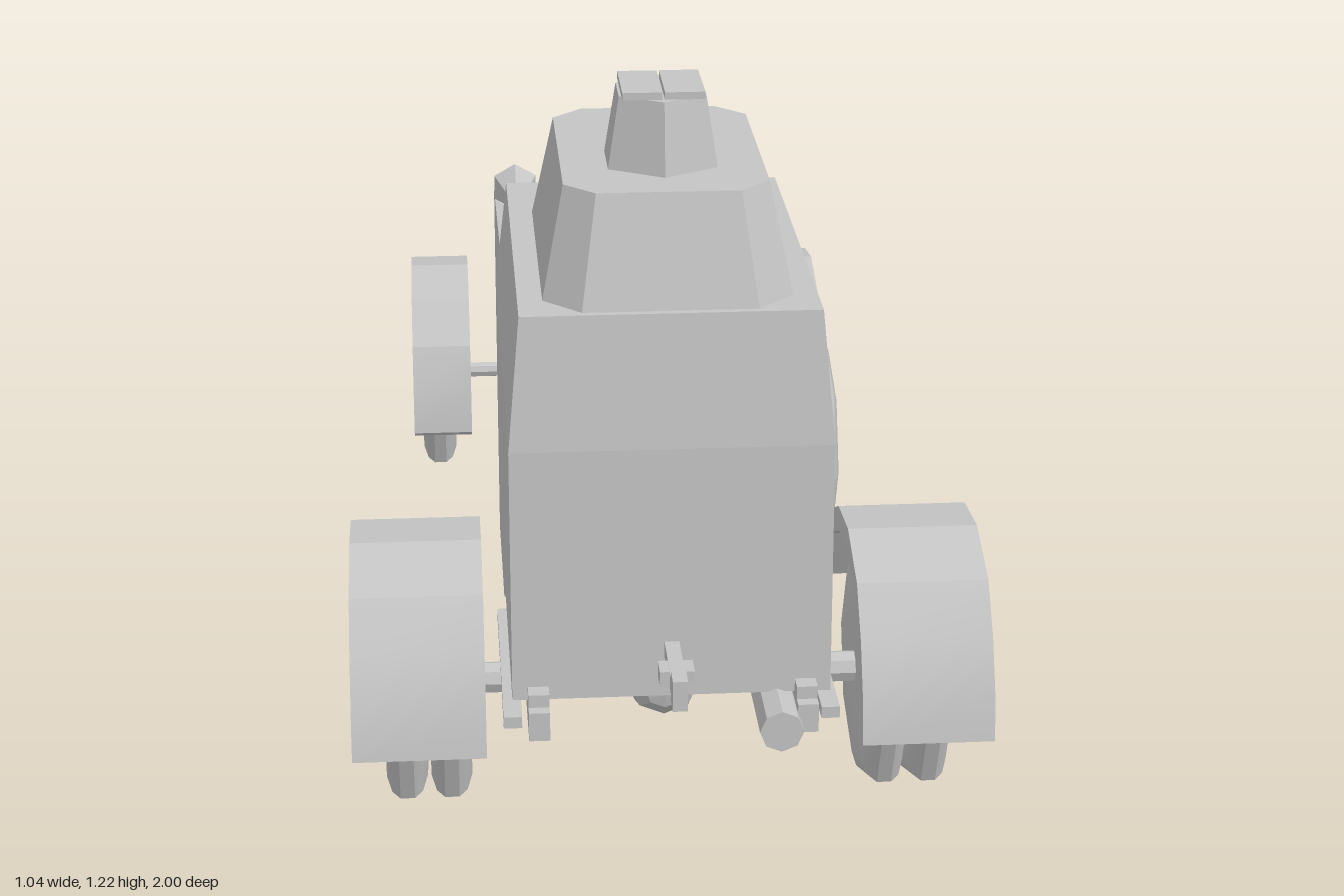
import * as THREE from 'three';
import { toCreasedNormals } from 'three/addons/utils/BufferGeometryUtils.js';

export function createModel() {
  const model = new THREE.Group();
  model.name = 'armouredCar';
  const grey = new THREE.MeshStandardMaterial({ color: 0xc4c4c4 });
  grey.name = 'plain grey';

  function add(name, geo, x = 0, y = 0, z = 0, crease = 0.3) {
    const mesh = new THREE.Mesh(toCreasedNormals(geo, crease), grey);
    mesh.name = name;
    mesh.position.set(x, y, z);
    model.add(mesh);
    return mesh;
  }
  const box = (w, h, d) => new THREE.BoxGeometry(w, h, d);
  // Cylinder along x or z
  const rodX = (r, len, sides = 8) => new THREE.CylinderGeometry(r, r, len, sides).rotateZ(Math.PI / 2);
  const rodZ = (rFront, rBack, len, sides = 8) =>
    new THREE.CylinderGeometry(rFront, rBack, len, sides).rotateX(Math.PI / 2);
  // Side profile given as [z, y], extruded across x
  function profile(points, width) {
    const shape = new THREE.Shape(points.map(([z, y]) => new THREE.Vector2(z, y)));
    return new THREE.ExtrudeGeometry(shape, { depth: width, bevelEnabled: false })
      .translate(0, 0, -width / 2).rotateY(-Math.PI / 2);
  }
  // Move every vertex by a rule
  function reshape(geo, rule) {
    const p = geo.attributes.position;
    const v = new THREE.Vector3();
    for (let i = 0; i < p.count; i++) {
      rule(v.fromBufferAttribute(p, i));
      p.setXYZ(i, v.x, v.y, v.z);
    }
    return geo;
  }

  // Cab: upright lower half, upper half leaning inwards
  add('cabLower', profile([[0.025, 0.2], [0.33, 0.2], [0.365, 0.26], [0.838, 0.26], [0.826, 0.69], [0.025, 0.69]], 0.52),
    0, 0, 0, 0.01);
  add('cabUpper', reshape(
    profile([[0.025, 0.69], [0.826, 0.69], [0.8, 0.91], [0.118, 0.91]], 0.52),
    v => { if (v.y > 0.8) v.x *= 0.24 / 0.26; }), 0, 0, 0, 0.01);
  add('bonnet', profile([[0.025, 0.2], [0.025, 0.69], [-0.72, 0.627], [-0.72, 0.31], [-0.53, 0.31], [-0.4, 0.2]], 0.492));

  // Turret: tapered octagon
  const a = 0.2, b = 0.283, c = 0.06;
  const plan = [[a, b - c], [a - c, b], [c - a, b], [-a, b - c], [-a, c - b], [c - a, -b], [a - c, -b], [a, c - b]];
  const turret = new THREE.ExtrudeGeometry(
    new THREE.Shape(plan.map(p => new THREE.Vector2(...p))), { depth: 0.18, bevelEnabled: false }).rotateX(-Math.PI / 2);
  add('turret', reshape(turret, v => { if (v.y > 0.1) { v.x *= 0.82; v.z *= 0.825; } }), 0, 0.91, 0.505);

  // Cupola with two hatch lids
  add('cupola', new THREE.CylinderGeometry(0.081, 0.102, 0.118, 6), 0, 1.149, 0.565);
  for (const s of [-1, 1]) add('hatchLid', box(0.064, 0.012, 0.13), s * 0.034, 1.214, 0.565);

  // Gun on the turret
  add('gunMantlet', box(0.12, 0.11, 0.07), 0, 1.023, 0.26);
  add('gunCradle', box(0.07, 0.06, 0.05), 0, 1.005, 0.2);
  add('gunSleeve', rodZ(0.024, 0.024, 0.06), 0, 1.015, 0.185);
  add('gunBarrel', rodZ(0.018, 0.018, 0.18), 0, 1.015, 0.113);
  add('gunLowerTube', rodZ(0.011, 0.011, 0.14), 0, 0.975, 0.142);

  // Lamp on the cab corner
  add('lamp', rodZ(0.022, 0.043, 0.06, 6), -0.222, 0.876, 0.066);
  add('lampBracket', box(0.02, 0.02, 0.05), -0.215, 0.872, 0.11);

  // Eight-sided wheels with shallow domed faces
  function wheel(name, x, y, z, w = 0.068) {
    const h = w / 2;
    const pts = [[0, -h], [0.08, -h], [0.165, -h], [0.192, -h * 0.75], [0.204, -h * 0.35],
      [0.204, h * 0.35], [0.192, h * 0.75], [0.165, h], [0.08, h], [0, h]];
    add(name, new THREE.LatheGeometry(pts.map(p => new THREE.Vector2(...p)), 8).rotateZ(-Math.PI / 2), x, y, z, 0.6);
  }
  wheel('spareWheel', 0.302, 0.44, 0.2, 0.062);
  add('spareWheelHub', rodX(0.03, 0.08), 0.275, 0.44, 0.2);

  // Mudguard outlines as [z, y], outer edge then inner edge
  const rearGuard = [[0.92, 0.2], [0.905, 0.275], [0.865, 0.36], [0.805, 0.435], [0.69, 0.48], [0.575, 0.47],
    [0.465, 0.415], [0.39, 0.295], [0.432, 0.275], [0.49, 0.38], [0.585, 0.43], [0.685, 0.44],
    [0.78, 0.4], [0.83, 0.34], [0.868, 0.265], [0.88, 0.2]];
  const frontArc = [[-0.505, 0.172], [-0.515, 0.26], [-0.55, 0.345], [-0.62, 0.42], [-0.735, 0.457], [-0.84, 0.44], [-0.93, 0.388]];
  const frontGuard = [...frontArc, ...frontArc.map(([z, y]) => [z - (z + 0.73) * 0.03, y - 0.008]).reverse()];

  for (const s of [-1, 1]) {
    wheel('rearOuterWheel', s * 0.435, 0.205, 0.65);
    wheel('rearInnerWheel', s * 0.361, 0.205, 0.65);
    wheel('frontWheel', s * 0.37, 0.205, -0.755);
    add('rearMudguard', profile(rearGuard, 0.216), s * 0.412, 0, 0);
    add('frontMudguard', profile(frontGuard, 0.118), s * 0.363, 0, 0);
    // Chassis rails
    add('frontRail', profile([[-1, 0.238], [-1, 0.253], [-0.85, 0.256], [-0.38, 0.256], [-0.38, 0.205], [-0.85, 0.21]], 0.034),
      s * 0.218, 0, 0);
    add('rearRail', box(0.034, 0.05, 0.55), s * 0.218, 0.237, 0.615);
    add('rearRailEnd', box(0.034, 0.068, 0.03), s * 0.218, 0.25, 0.855);
    add('rearSpring', box(0.03, 0.02, 0.4), s * 0.26, 0.225, 0.65);
  }

  // Axles and drive
  add('rearAxle', rodX(0.027, 0.84), 0, 0.203, 0.645);
  add('frontAxle', rodX(0.016, 0.72), 0, 0.21, -0.76);
  add('differential', new THREE.SphereGeometry(0.068, 8, 6).rotateX(Math.PI / 2), 0, 0.2, 0.645);
  add('driveShaft', rodZ(0.016, 0.016, 0.34), 0, 0.215, 0.46);
  add('exhaust', rodZ(0.036, 0.036, 0.5), 0.172, 0.23, 0.67);

  // Tow hitch
  add('towBar', box(0.024, 0.028, 0.15), 0, 0.342, 0.9);
  add('towCross', box(0.056, 0.026, 0.04), 0, 0.342, 0.92);
  add('towHead', box(0.024, 0.052, 0.04), 0, 0.342, 0.98);

  return model;
}
